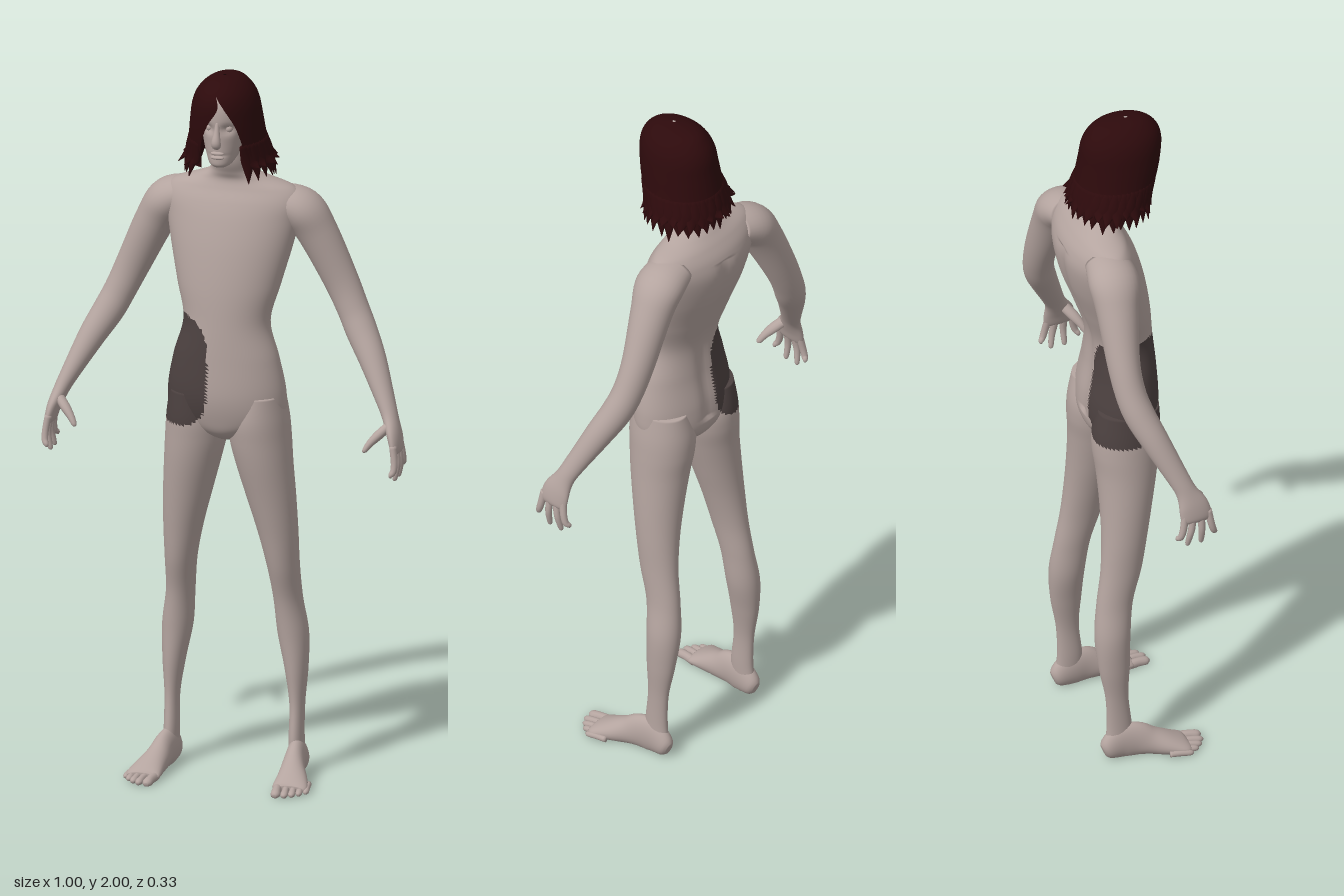
import * as THREE from 'three';

const skin = new THREE.MeshStandardMaterial({ color: 0xb4a49f });
skin.name = 'skin';
const patchMat = new THREE.MeshStandardMaterial({ color: 0x4c4140 });
patchMat.name = 'darkPatch';
const hairMat = new THREE.MeshStandardMaterial({ color: 0x2d0a0c, side: THREE.DoubleSide });
hairMat.name = 'hair';

const V = (x, y, z) => new THREE.Vector3(x, y, z);

// Catmull-Rom through rows of numbers, k steps between neighbours
function smoothRows(rows, k) {
  const out = [];
  const at = (i) => rows[Math.min(Math.max(i, 0), rows.length - 1)];
  for (let i = 0; i < rows.length - 1; i++) {
    for (let s = 0; s < k; s++) {
      const t = s / k;
      out.push(at(i).map((p1, c) => {
        const p0 = at(i - 1)[c], p2 = at(i + 1)[c], p3 = at(i + 2)[c];
        return 0.5 * (2 * p1 + (p2 - p0) * t + (2 * p0 - 5 * p1 + 4 * p2 - p3) * t * t
          + (3 * p1 - p0 - 3 * p2 + p3) * t * t * t);
      }));
    }
  }
  out.push(rows[rows.length - 1]);
  return out;
}

// Skin a list of rings; faces are turned outward by the sign of the volume
function loft(rings, closed = true) {
  const n = rings[0].length, pts = rings.flat(), idx = [];
  const m = closed ? n : n - 1;
  for (let i = 0; i < rings.length - 1; i++) {
    for (let j = 0; j < m; j++) {
      const a = i * n + j, b = i * n + (j + 1) % n;
      idx.push(a, b, a + n, b, b + n, a + n);
    }
  }
  if (closed) {
    [0, rings.length - 1].forEach((r, e) => {
      const c = pts.length;
      pts.push(rings[r].reduce((s, p) => s.add(p), V(0, 0, 0)).divideScalar(n));
      for (let j = 0; j < n; j++) {
        const a = r * n + j, b = r * n + (j + 1) % n;
        idx.push(c, e ? a : b, e ? b : a);
      }
    });
  }
  const mid = pts.reduce((s, p) => s.add(p), V(0, 0, 0)).divideScalar(pts.length);
  let volume = 0;
  for (let i = 0; i < idx.length; i += 3) {
    const [a, b, c] = [0, 1, 2].map((k) => pts[idx[i + k]].clone().sub(mid));
    volume += a.dot(b.cross(c));
  }
  if (volume < 0) for (let i = 0; i < idx.length; i += 3) [idx[i], idx[i + 1]] = [idx[i + 1], idx[i]];
  const g = new THREE.BufferGeometry().setFromPoints(pts);
  g.setIndex(idx);
  g.computeVertexNormals();
  return g;
}

// Level rings from rows [y, xMin, xMax, zFront, zBack]
function stack(rows, k, n, shape) {
  return loft(smoothRows(rows, k).map(([y, x0, x1, zf, zb]) =>
    Array.from({ length: n }, (_, j) => {
      const a = (j / n) * Math.PI * 2;
      const p = V((x0 + x1) / 2 + (x1 - x0) / 2 * Math.sin(a), y, (zf + zb) / 2 + (zf - zb) / 2 * Math.cos(a));
      if (shape) shape(p, a);
      return p;
    })));
}

// Oval tube from rows [x, y, z, radiusA, radiusB], square to its path
function tube(rows, k, n, ref = V(0, 0, 1), shape) {
  const r = smoothRows(rows, k);
  const at = (i) => V(...r[Math.min(Math.max(i, 0), r.length - 1)].slice(0, 3));
  return loft(r.map((q, i) => {
    const t = at(i + 1).sub(at(i - 1)).normalize();
    const a = t.clone().cross(ref).normalize(), b = t.clone().cross(a);
    return Array.from({ length: n }, (_, j) => {
      const w = (j / n) * Math.PI * 2;
      const p = at(i).addScaledVector(a, q[3] * Math.cos(w)).addScaledVector(b, q[4] * Math.sin(w));
      if (shape) shape(p);
      return p;
    });
  }));
}

function inPatch(x, y) {
  const t = Math.abs((y - 1.165) / 0.155);
  return t < 1 && x < -0.12 + 0.09 * Math.sqrt(1 - t ** 4);
}

// Sort triangles into skin and patch groups
function paintPatch(g) {
  const p = g.attributes.position, ix = g.index.array, lists = [[], []];
  for (let i = 0; i < ix.length; i += 3) {
    const t = [ix[i], ix[i + 1], ix[i + 2]];
    const mean = (f) => t.reduce((s, v) => s + f(v), 0) / 3;
    lists[inPatch(mean((v) => p.getX(v)), mean((v) => p.getY(v))) ? 1 : 0].push(...t);
  }
  g.setIndex(lists.flat());
  g.addGroup(0, lists[0].length, 0);
  g.addGroup(lists[0].length, lists[1].length, 1);
  return g;
}

export function createModel() {
  const model = new THREE.Group();
  const add = (name, geo, mat, parent = model) => {
    const m = new THREE.Mesh(geo, mat);
    m.name = name;
    parent.add(m);
    return m;
  };

  // Torso and neck: [y, half width, front z, back z]
  const torso = [
    [0.965, 0.03, 0.03, -0.04], [0.99, 0.085, 0.07, -0.08], [1.03, 0.155, 0.088, -0.1], [1.1, 0.164, 0.1, -0.1],
    [1.2, 0.146, 0.097, -0.085], [1.3, 0.12, 0.09, -0.085], [1.4, 0.143, 0.08, -0.115], [1.5, 0.168, 0.062, -0.15],
    [1.58, 0.185, 0.04, -0.165], [1.63, 0.192, 0.02, -0.157], [1.665, 0.17, 0, -0.137], [1.69, 0.105, -0.008, -0.115],
    [1.712, 0.062, 0, -0.095], [1.75, 0.05, 0.015, -0.075], [1.82, 0.05, 0.02, -0.07],
  ].map(([y, w, f, b]) => [y, -w, w, f, b]);
  add('torso', paintPatch(stack(torso, 10, 80, (p, a) => {
    // spine groove
    if (Math.cos(a) < 0 && p.y > 1.05 && p.y < 1.62) p.z += 0.008 * Math.exp(-((p.x / 0.022) ** 2));
  })), [skin, patchMat]);

  // Legs: [y, inner x, outer x, front z, back z]
  const leg = [
    [1.1, 0.03, 0.158, 0.08, -0.09], [1.03, 0.005, 0.169, 0.085, -0.104], [0.97, 0.006, 0.174, 0.08, -0.105],
    [0.9, 0.022, 0.178, 0.07, -0.098], [0.8, 0.05, 0.184, 0.05, -0.095], [0.7, 0.078, 0.187, 0.03, -0.097],
    [0.6, 0.1, 0.187, 0.01, -0.105], [0.5, 0.112, 0.19, -0.018, -0.12], [0.4, 0.12, 0.204, -0.03, -0.13],
    [0.3, 0.14, 0.203, -0.035, -0.122], [0.2, 0.155, 0.196, -0.04, -0.105], [0.1, 0.155, 0.196, -0.03, -0.102],
    [0.03, 0.157, 0.2, -0.03, -0.112],
  ];
  // Arm with palm, then fingers
  const arm = [
    [0.12, 1.625, -0.08, 0.045, 0.06], [0.185, 1.6, -0.085, 0.058, 0.07], [0.228, 1.535, -0.092, 0.055, 0.058],
    [0.288, 1.41, -0.1, 0.048, 0.045], [0.325, 1.33, -0.095, 0.044, 0.042], [0.355, 1.27, -0.08, 0.043, 0.042],
    [0.395, 1.2, -0.05, 0.037, 0.038], [0.445, 1.1, -0.005, 0.025, 0.03], [0.463, 1.06, 0.012, 0.021, 0.03],
    [0.478, 1.02, 0.026, 0.018, 0.042], [0.486, 0.985, 0.032, 0.014, 0.044], [0.487, 0.972, 0.033, 0.006, 0.036],
  ];
  const fingers = [[0.066, 0.086, 0.917], [0.045, 0.046, 0.897], [0.022, 0.007, 0.897], [0, -0.022, 0.92]];
  const foot = [
    [0.178, 0.03, -0.113, 0.012, 0.02], [0.178, 0.035, -0.1, 0.023, 0.035], [0.179, 0.05, -0.06, 0.026, 0.055],
    [0.184, 0.05, -0.02, 0.028, 0.052], [0.19, 0.038, 0.02, 0.034, 0.04], [0.2, 0.026, 0.065, 0.043, 0.03],
    [0.206, 0.018, 0.105, 0.048, 0.018], [0.207, 0.016, 0.118, 0.04, 0.01],
  ];
  const toes = [[0.177, 0.168, 0.013], [0.201, 0.166, 0.01], [0.219, 0.155, 0.0095], [0.235, 0.14, 0.009], [0.249, 0.12, 0.0085]];
  for (const [side, s] of [['left', 1], ['right', -1]]) {
    const mx = (rows) => rows.map(([x, ...rest]) => [s * x, ...rest]);
    const floor = (p) => { p.y = Math.max(p.y, 0.004); };
    add(side + 'Leg', paintPatch(stack(leg.map(([y, a, b, f, k]) => [y, s * a, s * b, f, k]), 8, 48)), [skin, patchMat]);
    add(side + 'Foot', tube(mx(foot), 4, 28, V(0, 1, 0), floor), skin);
    toes.forEach(([x, z, r], i) => add(side + 'Toe' + (i + 1), tube(mx([
      [x - 0.005, 0.016, z - 0.065, r, r], [x, 0.015, z - 0.035, r * 0.95, r],
      [x + 0.003, 0.012, z - 0.01, r, r * 0.9], [x + 0.003, 0.01, z, r * 0.4, r * 0.4],
    ]), 4, 12, V(0, 1, 0), floor), skin));
    add(side + 'Arm', tube(mx(arm), 6, 32), skin);
    fingers.forEach(([z0, z1, y1], i) => add(side + 'Finger' + (i + 1), tube(mx([
      [0.484, 1.0, z0, 0.01, 0.011], [0.49, 0.96, (z0 * 2 + z1) / 3, 0.0095, 0.01],
      [0.49, 0.935, (z0 + z1 * 2) / 3, 0.009, 0.009], [0.484, y1 + 0.007, z1, 0.007, 0.007], [0.483, y1, z1, 0.003, 0.003],
    ]), 4, 12), skin));
    add(side + 'Thumb', tube(mx([
      [0.468, 1.05, 0.03, 0.013, 0.015], [0.44, 1.024, 0.053, 0.013, 0.015], [0.42, 1.003, 0.068, 0.01, 0.011],
      [0.408, 0.985, 0.077, 0.007, 0.008], [0.406, 0.98, 0.078, 0.003, 0.003],
    ]), 4, 14), skin);
  }

  // Head with eye sockets and a mouth crease
  const head = [
    [1.755, 0.018, 0.088, 0.05], [1.765, 0.032, 0.098, 0.02], [1.79, 0.046, 0.099, -0.03], [1.82, 0.056, 0.1, -0.06],
    [1.87, 0.066, 0.102, -0.08], [1.92, 0.069, 0.1, -0.08], [1.96, 0.055, 0.085, -0.06], [1.982, 0.025, 0.055, -0.03],
  ].map(([y, w, f, b]) => [y, -w, w, f, b]);
  add('head', stack(head, 8, 64, (p, a) => {
    if (Math.cos(a) < 0) return;
    const dent = (x, y, rx, ry, d) => { p.z -= d * Math.exp(-(((p.x - x) / rx) ** 2) - ((p.y - y) / ry) ** 2); };
    for (const s of [-1, 1]) dent(s * 0.027, 1.865, 0.016, 0.012, 0.013);
    dent(0, 1.792, 0.02, 0.004, 0.005);
  }), skin);
  add('nose', tube([
    [0, 1.885, 0.094, 0.006, 0.008], [0, 1.86, 0.102, 0.008, 0.009], [0, 1.832, 0.11, 0.013, 0.013],
    [0, 1.82, 0.106, 0.012, 0.009], [0, 1.815, 0.1, 0.006, 0.005],
  ], 4, 16), skin);
  for (const y of [1.798, 1.786]) {
    const lip = new THREE.SphereGeometry(1, 16, 10).scale(0.019, 0.0055, 0.008).translate(0, y, 0.0975);
    add('lip', lip, skin);
  }
  for (const s of [-1, 1]) {
    add('eyelid', new THREE.SphereGeometry(0.011, 16, 12).translate(s * 0.027, 1.865, 0.077), skin);
  }

  // Hair shell, parted at the front: [y, half width, front z, back z, left edge angle, right edge angle]
  const hair = new THREE.Group();
  hair.name = 'hair';
  model.add(hair);
  const shell = smoothRows([
    [2.0, 0.004, 0.03, 0.02, 0, 0], [1.99, 0.042, 0.078, -0.05, 0, 0], [1.965, 0.071, 0.11, -0.082, 0.02, 0.02],
    [1.93, 0.088, 0.123, -0.1, 0.28, 0.08], [1.88, 0.097, 0.12, -0.108, 0.55, -0.24], [1.82, 0.105, 0.108, -0.118, 0.68, -0.46],
    [1.77, 0.114, 0.088, -0.128, 0.66, -0.46], [1.745, 0.119, 0.08, -0.132, 0.64, -0.46],
  ], 6);
  const onShell = ([y, w, f, b], a, k = 1) => V(k * w * Math.sin(a), y, (f + b) / 2 + k * (f - b) / 2 * Math.cos(a));
  const strands = 72;
  add('hairShell', loft(shell.map((r) => Array.from({ length: strands + 1 }, (_, j) =>
    onShell(r, r[4] + (Math.PI * 2 + r[5] - r[4]) * j / strands))), false), hairMat, hair);

  // Pointed locks along the hem, in two layers
  let seed = 7;
  const rand = () => (seed = (seed * 16807) % 2147483647) / 2147483647;
  const low = shell[shell.length - 1], mid = shell[30], lower = shell[36];
  for (let layer = 0; layer < 2; layer++) {
    for (let i = 0; i < 22; i++) {
      const a = 0.72 + (Math.PI * 2 - 1.26) * (i + layer * 0.5) / 22;
      const p0 = onShell(mid, a, 0.97), p1 = onShell(lower, a, 0.99);
      const p2 = onShell(low, a + (rand() - 0.5) * 0.12, (layer ? 1.1 : 1.0) + rand() * 0.09);
      p2.y = (layer ? 1.735 : 1.7) + rand() * 0.025;
      const out = V(Math.sin(a), 0, Math.cos(a));
      add('hairLock', tube([[...p0, 0.012, 0.005], [...p1, 0.019, 0.008], [...p2, 0.0008, 0.0008]], 4, 8, out), hairMat, hair);
    }
  }
  return model;
}
